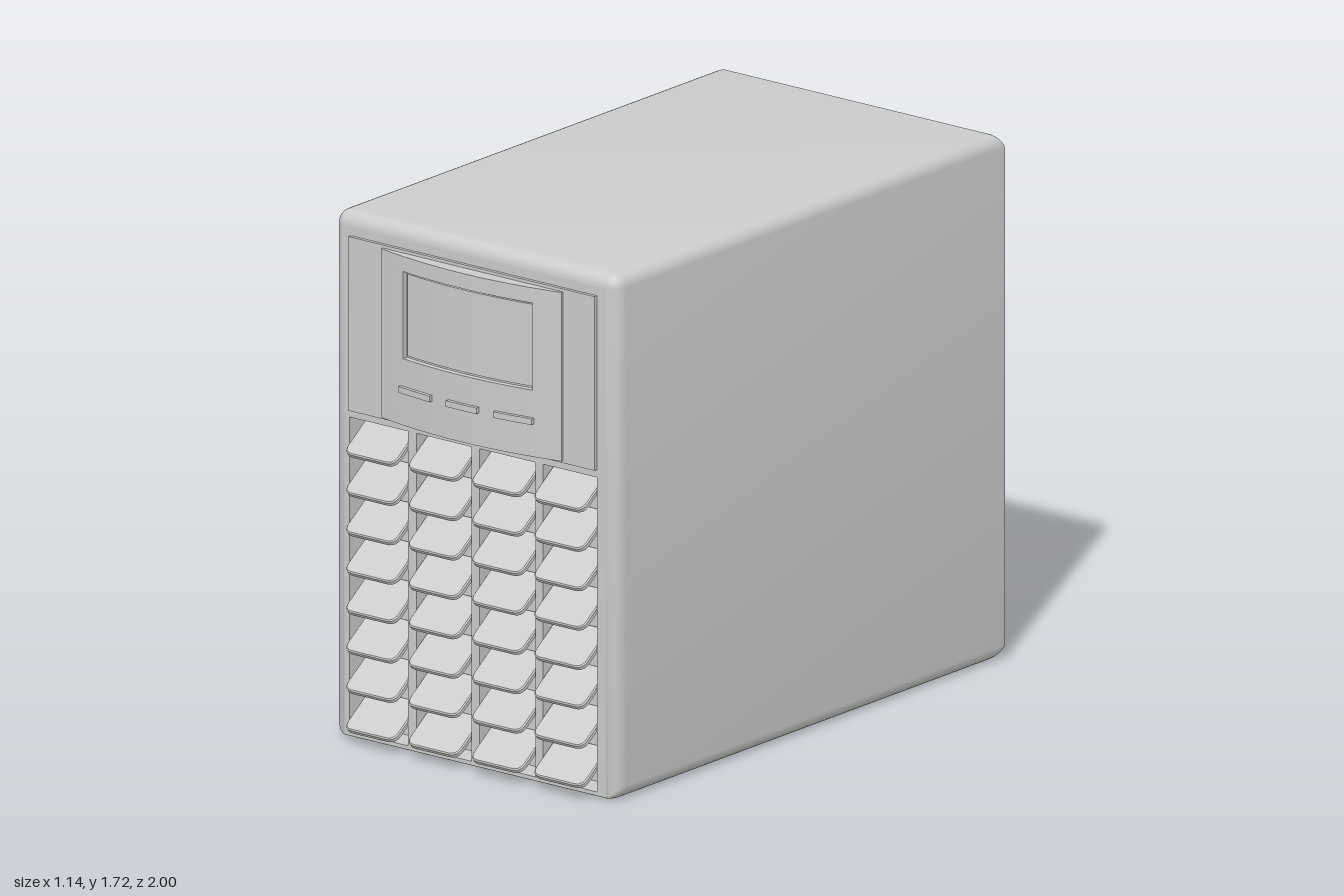
import * as THREE from 'three';
import { toCreasedNormals } from 'three/addons/utils/BufferGeometryUtils.js';

const W = 0.57, H = 1.72, BACK = -1, FRONT = 0.925, R = 0.045;
const STEPS = 6;

// Rounded rectangle outline, counter-clockwise seen from the front
function outline(w, y0, y1, r) {
  const corners = [[w - r, y0 + r, -0.5], [w - r, y1 - r, 0], [-w + r, y1 - r, 0.5], [-w + r, y0 + r, 1]];
  const pts = [];
  for (const [cx, cy, start] of corners) {
    for (let i = 0; i <= STEPS; i++) {
      const a = Math.PI * (start + (0.5 * i) / STEPS);
      pts.push(new THREE.Vector2(cx + r * Math.cos(a), cy + r * Math.sin(a)));
    }
  }
  return pts;
}

// Skin through the outlines of the case from back to front
function shellGeometry(rings) {
  const pos = [], idx = [], n = rings[0].pts.length;
  for (const { z, pts } of rings) for (const p of pts) pos.push(p.x, p.y, z);
  for (let k = 0; k < rings.length - 1; k++) {
    for (let i = 0; i < n; i++) {
      const j = (i + 1) % n, a = k * n + i, b = k * n + j;
      idx.push(a, b, b + n, a, b + n, a + n);
    }
  }
  const g = new THREE.BufferGeometry();
  g.setAttribute('position', new THREE.Float32BufferAttribute(pos, 3));
  g.setIndex(idx);
  return toCreasedNormals(g, 0.6);
}

function rectPath(x0, x1, y0, y1) {
  return new THREE.Path([[x0, y0], [x0, y1], [x1, y1], [x1, y0]].map(([x, y]) => new THREE.Vector2(x, y)));
}

// Bowed front of the control panel
const bow = (x) => 0.985 - 0.04 * (x / 0.36) ** 2;

// Block with a bowed front, raised or sunk by offset
function bowedBlock(x0, x1, y0, y1, offset, zBack = 0.93) {
  const pts = [new THREE.Vector2(x0, -zBack)];
  const n = 16;
  for (let i = 0; i <= n; i++) {
    const x = x0 + ((x1 - x0) * i) / n;
    pts.push(new THREE.Vector2(x, -(bow(x) + offset)));
  }
  pts.push(new THREE.Vector2(x1, -zBack));
  const g = new THREE.ExtrudeGeometry(new THREE.Shape(pts), { depth: y1 - y0, bevelEnabled: false });
  g.rotateX(-Math.PI / 2).translate(0, y0, 0);
  return toCreasedNormals(g, 0.5);
}

// Louvre blade with rounded lower corners, rising into the case
function bladeGeometry(width, length) {
  const w = width / 2, r = 0.035;
  const s = new THREE.Shape();
  s.moveTo(-w, length);
  s.lineTo(-w, r);
  s.quadraticCurveTo(-w, 0, -w + r, 0);
  s.lineTo(w - r, 0);
  s.quadraticCurveTo(w, 0, w, r);
  s.lineTo(w, length);
  const g = new THREE.ExtrudeGeometry(s, {
    depth: 0.012, bevelEnabled: true, bevelThickness: 0.004, bevelSize: 0.004, bevelOffset: -0.004, bevelSegments: 1, curveSegments: 6,
  });
  return g.rotateX(-0.95);
}

export function createModel() {
  const model = new THREE.Group();
  const material = new THREE.MeshStandardMaterial({ color: 0xcccccc });
  const add = (name, geometry, parent = model) => {
    const mesh = new THREE.Mesh(geometry, material);
    mesh.name = name;
    parent.add(mesh);
    return mesh;
  };
  const group = (name) => {
    const g = new THREE.Group();
    g.name = name;
    model.add(g);
    return g;
  };

  // Case: back rounded at top and bottom only, front rounded at top and sides
  const rings = [];
  for (let i = 0; i <= STEPS; i++) {
    const a = (Math.PI / 2) * (1 - i / STEPS);
    const inset = R * (1 - Math.cos(a));
    rings.push({ z: BACK + R - R * Math.sin(a), pts: outline(W, inset, H - inset, Math.max(R - inset, 0.001)) });
  }
  for (let i = 0; i <= STEPS; i++) {
    const a = (Math.PI / 2) * (i / STEPS);
    const inset = R * (1 - Math.cos(a));
    rings.push({
      z: FRONT - R + R * Math.sin(a),
      pts: outline(W - inset, inset * 0.2, H - inset, Math.max(R - inset, 0.001)),
    });
  }
  add('caseShell', shellGeometry(rings));
  add('backPanel', new THREE.ShapeGeometry(new THREE.Shape(rings[0].pts)).rotateY(Math.PI).translate(0, 0, BACK));

  // Front plate with four tall vent openings
  const columns = [[-0.505, -0.27], [-0.235, -0.015], [0.018, 0.242], [0.272, 0.49]];
  const front = new THREE.Shape(rings[rings.length - 1].pts);
  for (const [x0, x1] of columns) front.holes.push(rectPath(x0, x1, 0.02, 1.05));
  const depth = 0.085;
  add('frontPlate', new THREE.ExtrudeGeometry(front, { depth, bevelEnabled: false }).translate(0, 0, FRONT - depth));
  add('ventBack', new THREE.BoxGeometry(1.04, 1.06, 0.01).translate(0, 0.54, FRONT - depth - 0.005));

  // Louvres: eight slanted blades in each opening
  const louvres = group('louvres');
  const blade = bladeGeometry(0.207, 0.165);
  for (const x of [-0.375, -0.124, 0.131, 0.381]) {
    for (let row = 0; row < 8; row++) {
      add('louvreBlade', blade, louvres).position.set(x, 0.04 + row * 0.129, 0.983);
    }
  }

  // Control panel: backing plate, bowed bezel around a sunken screen, buttons
  const panel = group('controlPanel');
  add('panelPlate', new THREE.BoxGeometry(0.99, 0.57, 0.02).translate(-0.005, 1.36, 0.927), panel);
  const [sx0, sx1, sy0, sy1] = [-0.257, 0.262, 1.3, 1.585];
  add('bezelTop', bowedBlock(-0.36, 0.363, sy1, 1.635, 0), panel);
  add('bezelBottom', bowedBlock(-0.36, 0.363, 1.082, sy0, 0), panel);
  add('bezelRight', bowedBlock(-0.36, sx0, sy0, sy1, 0), panel);
  add('bezelLeft', bowedBlock(sx1, 0.363, sy0, sy1, 0), panel);
  add('screenSurround', bowedBlock(sx0, sx1, sy0, sy1, -0.02), panel);
  add('screen', bowedBlock(sx0 + 0.008, sx1 - 0.008, sy0 + 0.008, sy1 - 0.008, -0.012), panel);
  for (const [x0, x1] of [[-0.268, -0.128], [-0.06, 0.063], [0.127, 0.268]]) {
    add('button', bowedBlock(x0, x1, 1.19, 1.21, 0.013), panel);
  }
  return model;
}
